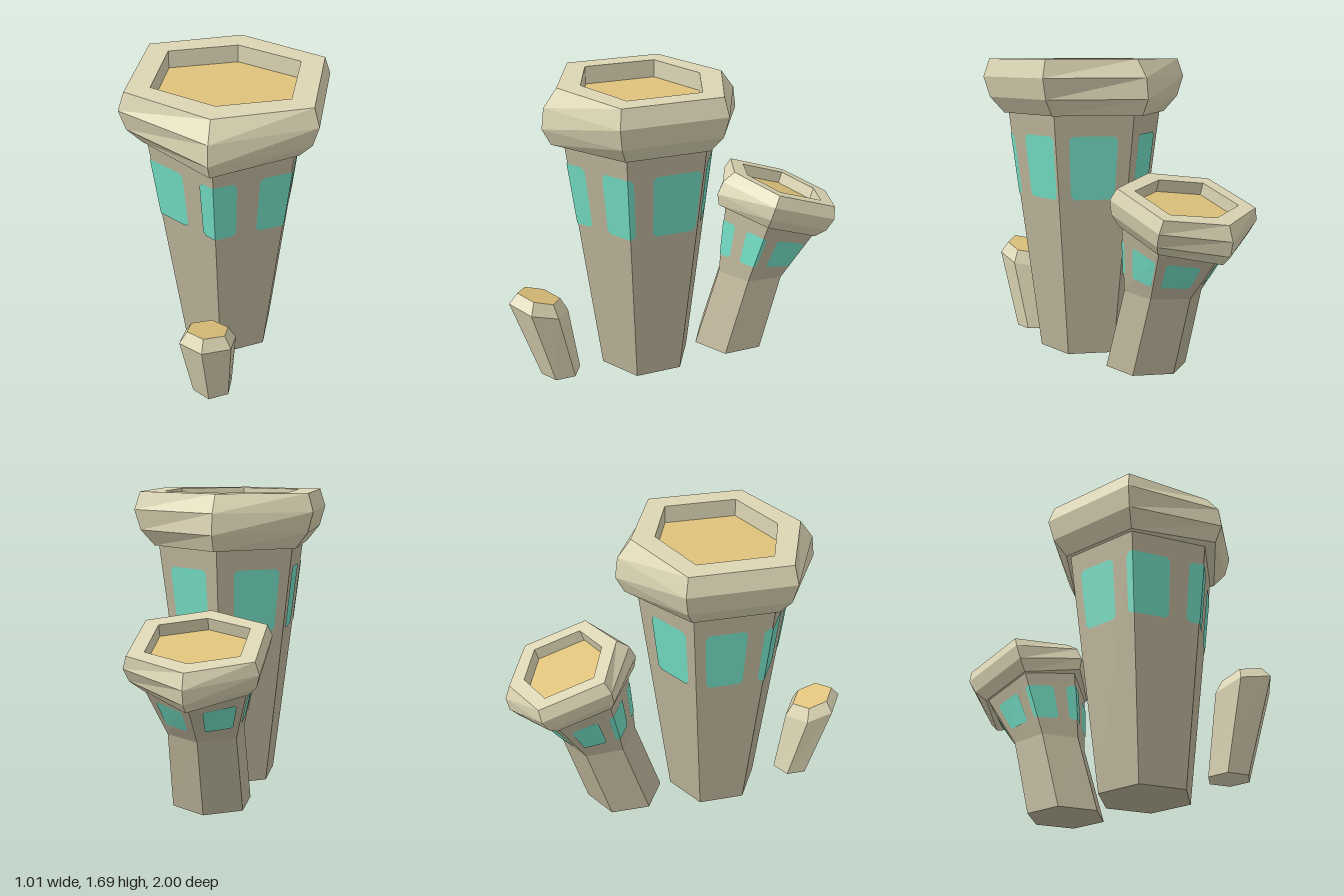
import * as THREE from 'three';

const mat = (name, color) => {
  const m = new THREE.MeshStandardMaterial({ color });
  m.name = name;
  return m;
};

// A ring is a tilted hexagon: height, depth, tilt about x, radius of the
// front/back corners and radius of the side corners.
const ring = (y, z, tilt, rEnd, rSide = rEnd) => ({ y, z, tilt, rEnd, rSide });

function corner(r, k) {
  const a = (k * Math.PI) / 3;
  const rad = ((k % 3) + 3) % 3 === 0 ? r.rEnd : r.rSide;
  return new THREE.Vector3(rad * Math.sin(a), 0, rad * Math.cos(a))
    .applyAxisAngle(new THREE.Vector3(1, 0, 0), r.tilt)
    .add(new THREE.Vector3(0, r.y, r.z));
}

// Point on the wall between two rings; u counts hexagon sides, t runs upwards.
function wallPoint(low, high, u, t) {
  const k = Math.floor(u), f = u - k;
  const edge = (r) => corner(r, k).lerp(corner(r, k + 1), f);
  return edge(low).lerp(edge(high), t);
}

function meshFrom(points, material, name) {
  const geo = new THREE.BufferGeometry().setFromPoints(points);
  geo.computeVertexNormals();
  const mesh = new THREE.Mesh(geo, material);
  mesh.name = name;
  return mesh;
}

const quad = (out, a, b, c, d) => out.push(a, b, c, a, c, d);

function addCap(out, r, up) {
  const c = new THREE.Vector3(0, r.y, r.z);
  for (let k = 0; k < 6; k++) {
    const a = corner(r, k), b = corner(r, k + 1);
    up ? out.push(c, a, b) : out.push(c, b, a);
  }
}

function loft(rings, material, name, bottom = true) {
  const pts = [];
  for (let i = 0; i < rings.length - 1; i++)
    for (let k = 0; k < 6; k++)
      quad(pts, corner(rings[i], k), corner(rings[i], k + 1),
        corner(rings[i + 1], k + 1), corner(rings[i + 1], k));
  if (bottom) addCap(pts, rings[0], false);
  return meshFrom(pts, material, name);
}

function disc(r, material, name) {
  const pts = [];
  addCap(pts, r, true);
  return meshFrom(pts, material, name);
}

// Start and end of each window, counted in sides from the front corner.
const WINDOWS = [[-0.21, 0.3], [0.59, 1.08], [1.33, 1.96], [2.18, 2.81],
  [3.23, 3.85], [4.15, 4.68], [4.9, 5.52]];

// Thin panes with clipped corners that wrap around the hexagon's edges
function windows(low, high, t0, t1, material) {
  const group = new THREE.Group();
  group.name = 'windows';
  const out = (r) => ring(r.y, r.z, r.tilt, r.rEnd + 0.005, r.rSide + 0.005);
  const a = out(low), b = out(high);
  const clipU = 0.05, clipT = (t1 - t0) * 0.06;
  for (const [u0, u1] of WINDOWS) {
    const cols = [u0, u0 + clipU, u1 - clipU, u1];
    const edge = Math.ceil(u0);
    if (edge < u1) cols.push(edge);
    cols.sort((p, q) => p - q);
    const inset = (u) => (u === u0 || u === u1 ? clipT : 0);
    const pts = [];
    for (let i = 0; i < cols.length - 1; i++) {
      const p = cols[i], q = cols[i + 1];
      quad(pts,
        wallPoint(a, b, p, t0 + inset(p)), wallPoint(a, b, q, t0 + inset(q)),
        wallPoint(a, b, q, t1 - inset(q)), wallPoint(a, b, p, t1 - inset(p)));
    }
    group.add(meshFrom(pts, material, 'window'));
  }
  return group;
}

// Faceted collar with a recessed floor, scaled and tilted to fit its tower
const COLLAR = [[0, 0.42, 0.42], [0, 0.512, 0.468], [0.09, 0.558, 0.548],
  [0.205, 0.543, 0.583], [0.305, 0.468, 0.548], [0.305, 0.338, 0.41], [0.205, 0.338, 0.41]];

function collar(y, z, tilt, s, rimMat, floorMat) {
  const group = new THREE.Group();
  group.name = 'collar';
  const rings = COLLAR.map(([h, e, w]) => ring(
    y + h * s * Math.cos(tilt), z + h * s * Math.sin(tilt), tilt, e * s, w * s));
  group.add(loft(rings, rimMat, 'collarRim', false));
  group.add(disc(rings[rings.length - 1], floorMat, 'collarFloor'));
  return group;
}

export function createModel() {
  const stone = mat('stone', 0xbeb69b);
  const paleStone = mat('paleStone', 0xdcd5b4);
  const sand = mat('sand', 0xdec27b);
  const teal = mat('teal', 0x74dfc5);
  const model = new THREE.Group();
  model.name = 'towers';

  // Main tower
  const main = new THREE.Group();
  main.name = 'mainTower';
  const base = ring(0, 0.203, 0, 0.265), top = ring(1.385, 0.203, 0, 0.442);
  main.add(loft([base, top], stone, 'mainShaft'));
  main.add(windows(base, top, 0.66, 0.917, teal));
  main.add(collar(1.385, 0.203, 0, 1, paleStone, sand));
  model.add(main);

  // Bent tower at the back
  const bent = new THREE.Group();
  bent.name = 'bentTower';
  const tilt = -0.325;
  const foot = ring(0, -0.35, 0, 0.225);
  const bend = ring(0.45, -0.486, -0.04, 0.214);
  const head = ring(0.775, -0.6, tilt, 0.308);
  bent.add(loft([foot, bend, head], stone, 'bentShaft'));
  bent.add(windows(bend, head, 0.27, 0.79, teal));
  bent.add(collar(0.775, -0.6, tilt, 0.69, paleStone, sand));
  model.add(bent);

  // Small leaning post at the front
  const post = new THREE.Group();
  post.name = 'smallPost';
  const postTop = ring(0.507, 0.829, -0.32, 0.1275, 0.115);
  post.add(loft([ring(0, 0.725, 0, 0.115),
    ring(0.437, 0.833, -0.3, 0.175, 0.159), postTop], paleStone, 'postShaft'));
  post.add(disc(postTop, sand, 'postTop'));
  model.add(post);

  return model;
}
